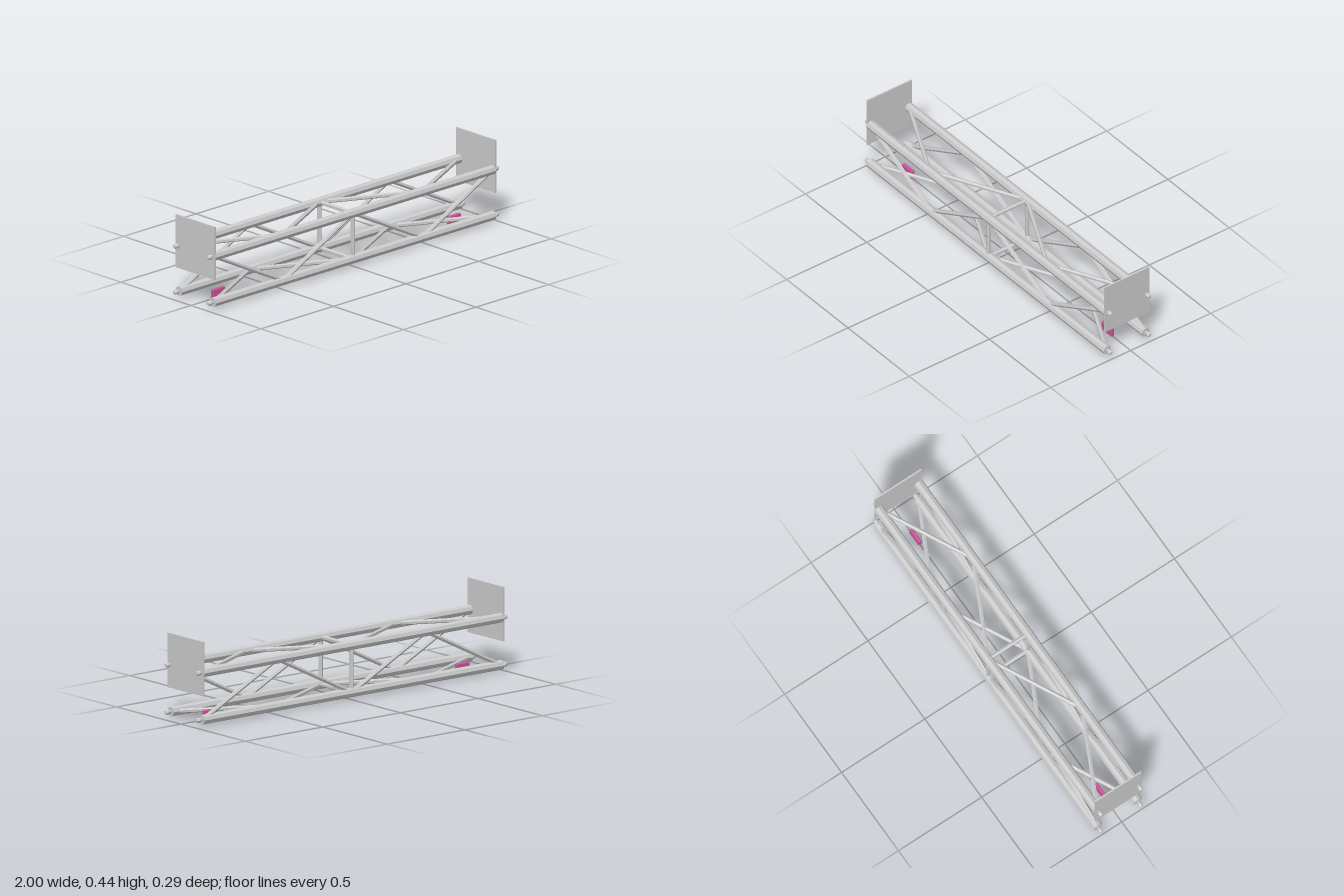
import * as THREE from 'three';
import { RoundedBoxGeometry } from 'three/addons/geometries/RoundedBoxGeometry.js';

const grey = new THREE.MeshStandardMaterial({ color: 0xcccccc, flatShading: true });
const pink = new THREE.MeshStandardMaterial({ color: 0xcc5599 });

const LOW = 0.038, HIGH = 0.278, DEPTH = 0.12, END = 0.967, BAY = 0.48;

// Straight tube between two points
function tube(name, a, b, radius, sides) {
  const dir = b.clone().sub(a);
  const mesh = new THREE.Mesh(new THREE.CylinderGeometry(radius, radius, dir.length(), sides), grey);
  mesh.position.copy(a).add(b).multiplyScalar(0.5);
  mesh.quaternion.setFromUnitVectors(new THREE.Vector3(0, 1, 0), dir.normalize());
  mesh.name = name;
  return mesh;
}

export function createModel() {
  const model = new THREE.Group();
  model.name = 'boxTruss';

  // Four main chords with a coupler pin at each end
  const pinProfile = [[0, -0.01], [0.009, -0.01], [0.009, 0.008], [0.013, 0.013], [0.013, 0.024],
    [0.009, 0.033], [0, 0.033]].map(([r, h]) => new THREE.Vector2(r, h));
  const pinGeometry = new THREE.LatheGeometry(pinProfile, 8);
  for (const y of [LOW, HIGH]) {
    for (const z of [-DEPTH, DEPTH]) {
      model.add(tube('chord', new THREE.Vector3(-END, y, z), new THREE.Vector3(END, y, z), 0.025, 8));
      for (const side of [-1, 1]) {
        const pin = new THREE.Mesh(pinGeometry, grey);
        pin.name = 'couplerPin';
        pin.position.set(side * END, y, z);
        pin.rotation.z = -side * Math.PI / 2;
        model.add(pin);
      }
    }
  }

  // Each face: [name, chord at the ends and middle, chord at the quarter points]
  const faces = [
    ['front', [HIGH, DEPTH], [LOW, DEPTH]],
    ['back', [LOW, -DEPTH], [HIGH, -DEPTH]],
    ['top', [HIGH, -DEPTH], [HIGH, DEPTH]],
    ['bottom', [LOW, DEPTH], [LOW, -DEPTH]],
  ];
  for (const [name, even, odd] of faces) {
    const face = new THREE.Group();
    face.name = name + 'Lacing';
    // Zigzag diagonals
    const node = (i) => new THREE.Vector3(i * BAY, ...(i % 2 === 0 ? even : odd));
    for (let i = -2; i < 2; i++) face.add(tube('diagonal', node(i), node(i + 1), 0.0115, 6));
    // Straight strut at mid-span
    face.add(tube('middleStrut', new THREE.Vector3(0, ...even), new THREE.Vector3(0, ...odd), 0.0115, 6));
    model.add(face);
  }

  for (const side of [-1, 1]) {
    // Upright end plate
    const plate = new THREE.Mesh(new THREE.BoxGeometry(0.008, 0.277, 0.278), grey);
    plate.name = 'endPlate';
    plate.position.set(side * END, 0.2985, 0);
    model.add(plate);

    // Small coloured foot block
    const foot = new THREE.Mesh(new RoundedBoxGeometry(0.082, 0.048, 0.018, 2, 0.003), pink);
    foot.name = 'footBlock';
    foot.position.set(side * 0.813, 0.024, 0);
    model.add(foot);
  }
  return model;
}
